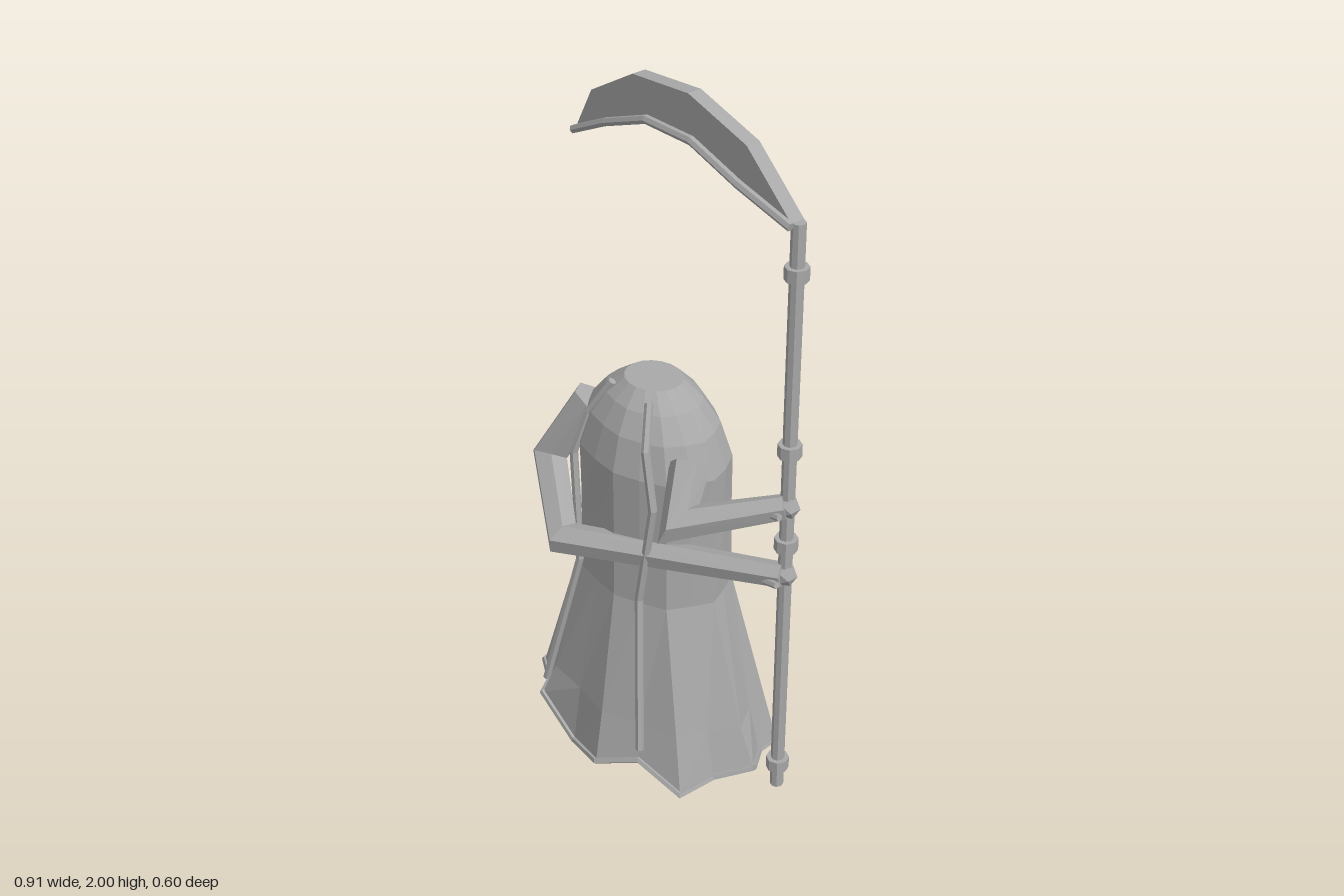
import * as THREE from 'three';

const V = (x, y, z) => new THREE.Vector3(x, y, z);
const grey = new THREE.MeshStandardMaterial({ color: 0xa8a8a8, flatShading: true });
grey.name = 'stone grey';

// Skin a stack of equal rings and close both ends with fans
function loft(rings) {
  const pos = [];
  const tri = (...pts) => pts.forEach((p) => pos.push(p.x, p.y, p.z));
  const n = rings[0].length;
  for (let i = 0; i < rings.length - 1; i++) {
    for (let j = 0; j < n; j++) {
      const k = (j + 1) % n;
      const a = rings[i][j], b = rings[i][k], c = rings[i + 1][j], d = rings[i + 1][k];
      tri(a, c, b);
      tri(b, c, d);
    }
  }
  const mid = (r) => r.reduce((s, p) => s.add(p), V(0, 0, 0)).divideScalar(n);
  const first = rings[0], last = rings[rings.length - 1];
  const m0 = mid(first), m1 = mid(last);
  for (let j = 0; j < n; j++) {
    const k = (j + 1) % n;
    tri(m0, first[j], first[k]);
    tri(m1, last[k], last[j]);
  }
  const g = new THREE.BufferGeometry();
  g.setAttribute('position', new THREE.Float32BufferAttribute(pos, 3));
  g.computeVertexNormals();
  return g;
}

// Straight-sided tube with mitred bends; radii may taper point by point
function mitredTube(pts, radii, sides = 6) {
  const r = (i) => (Array.isArray(radii) ? radii[i] : radii);
  const dirs = pts.slice(1).map((p, i) => p.clone().sub(pts[i]).normalize());
  const t = dirs[0];
  const ref = Math.abs(t.y) > 0.8 ? V(0, 0, 1) : V(0, 1, 0);
  const u = ref.addScaledVector(t, -ref.dot(t)).normalize();
  const v = u.clone().cross(t);
  let ring = Array.from({ length: sides }, (_, j) => {
    const a = ((j + 0.5) / sides) * Math.PI * 2;
    return u.clone().multiplyScalar(Math.cos(a)).addScaledVector(v, Math.sin(a)); // unit offsets
  });
  const rings = [];
  pts.forEach((p, i) => {
    if (i > 0) {
      const d = dirs[i - 1];
      const plane = i < dirs.length ? d.clone().add(dirs[i]).normalize() : d;
      ring = ring.map((o) => o.clone().addScaledVector(d, -o.dot(plane) / d.dot(plane)));
    }
    rings.push(ring.map((o) => o.clone().multiplyScalar(r(i)).add(p)));
  });
  return loft(rings);
}

export function createModel() {
  const model = new THREE.Group();
  model.name = 'cloakedReaper';
  const add = (name, geo, at, parent = model) => {
    const m = new THREE.Mesh(geo, grey);
    m.name = name;
    if (at) m.position.copy(at);
    parent.add(m);
    return m;
  };

  // Cloak: 18 alternating ridges and valleys, with a wavy hem
  const cx = -0.045, N = 18;
  const half = [0.09, 0.06, 0.03, 0.09, 0.045, 0.015, 0.1, 0.055, 0.03, 0.08];
  const hemY = (j) => half[j <= 9 ? j : N - j];
  const cloakRing = (rx, rz, fold, y) => Array.from({ length: N }, (_, j) => {
    const a = (j / N) * Math.PI * 2, f = j % 2 ? fold : 1;
    return V(cx + rx * f * Math.cos(a), typeof y === 'function' ? y(j) : y, rz * f * Math.sin(a));
  });
  const hem = cloakRing(0.425, 0.288, 0.89, hemY);
  add('cloak', loft([
    hem,
    cloakRing(0.37, 0.255, 0.92, 0.2),
    cloakRing(0.25, 0.187, 0.95, 0.57),
    cloakRing(0.245, 0.182, 0.96, 0.78),
    cloakRing(0.245, 0.182, 0.97, 0.97),
    cloakRing(0.205, 0.155, 0.97, 1.07),
    cloakRing(0.15, 0.118, 0.98, 1.135),
    cloakRing(0.085, 0.075, 1, 1.18),
  ]));
  add('hemTrim', mitredTube([...hem, hem[0]], 0.01, 5));

  // Cords hanging down the front
  add('leftCord', mitredTube([V(0.035, 1.165, 0.085), V(0.085, 1.06, 0.14), V(0.125, 0.9, 0.15),
    V(0.09, 0.6, 0.17), V(0.165, 0.15, 0.235)], 0.012));
  add('rightCord', mitredTube([V(-0.115, 1.165, 0.085), V(-0.17, 1.06, 0.125), V(-0.2, 0.93, 0.155),
    V(-0.165, 0.6, 0.17), V(-0.255, 0.15, 0.235)], 0.012));

  // Sleeved arms reaching across to the staff
  add('rightArm', mitredTube([V(-0.26, 1.03, 0.04), V(-0.355, 0.83, 0.12), V(-0.13, 0.727, 0.255),
    V(0.425, 0.768, -0.04)], [0.055, 0.05, 0.045, 0.035]));
  add('leftArm', mitredTube([V(0.17, 1.03, 0.06), V(0.235, 0.92, 0.155), V(0.425, 0.985, -0.04)],
    [0.055, 0.045, 0.035]));

  // Hands: a knuckle knob with a thumb around the staff
  for (const [name, y] of [['rightHand', 0.765], ['leftHand', 0.98]]) {
    const hand = new THREE.Group();
    hand.name = name;
    hand.position.set(0.425, y, -0.05);
    model.add(hand);
    add('knuckles', new THREE.IcosahedronGeometry(0.032, 0), V(0.003, 0, 0), hand);
    add('thumb', mitredTube([V(-0.025, -0.01, 0.05), V(0.022, 0, 0.05)], 0.01), null, hand);
  }

  // Scythe staff and its collars
  const sx = 0.42, sz = -0.055;
  add('staff', new THREE.CylinderGeometry(0.019, 0.019, 1.76, 8), V(sx, 0.91, sz));
  for (const y of [0.11, 0.86, 1.15, 1.655])
    add('staffCollar', new THREE.CylinderGeometry(0.032, 0.032, 0.036, 8), V(sx, y, sz));

  // Scythe blade with a raised cutting edge
  const back = [[-0.4, 1.76], [-0.33, 1.89], [-0.165, 1.985], [0.045, 2.0], [0.255, 1.935], [0.42, 1.785]];
  const edge = [[0.42, 1.785], [0.235, 1.83], [0.065, 1.885], [-0.105, 1.885], [-0.265, 1.825], [-0.4, 1.76]];
  const shape = new THREE.Shape([...back, ...edge.slice(1, -1)].map(([x, y]) => new THREE.Vector2(x, y)));
  add('blade', new THREE.ExtrudeGeometry(shape, { depth: 0.042, bevelEnabled: false }), V(0, 0, -0.077));
  add('bladeEdge', mitredTube(edge.map(([x, y]) => V(x, y, -0.028)), 0.012));

  return model;
}
